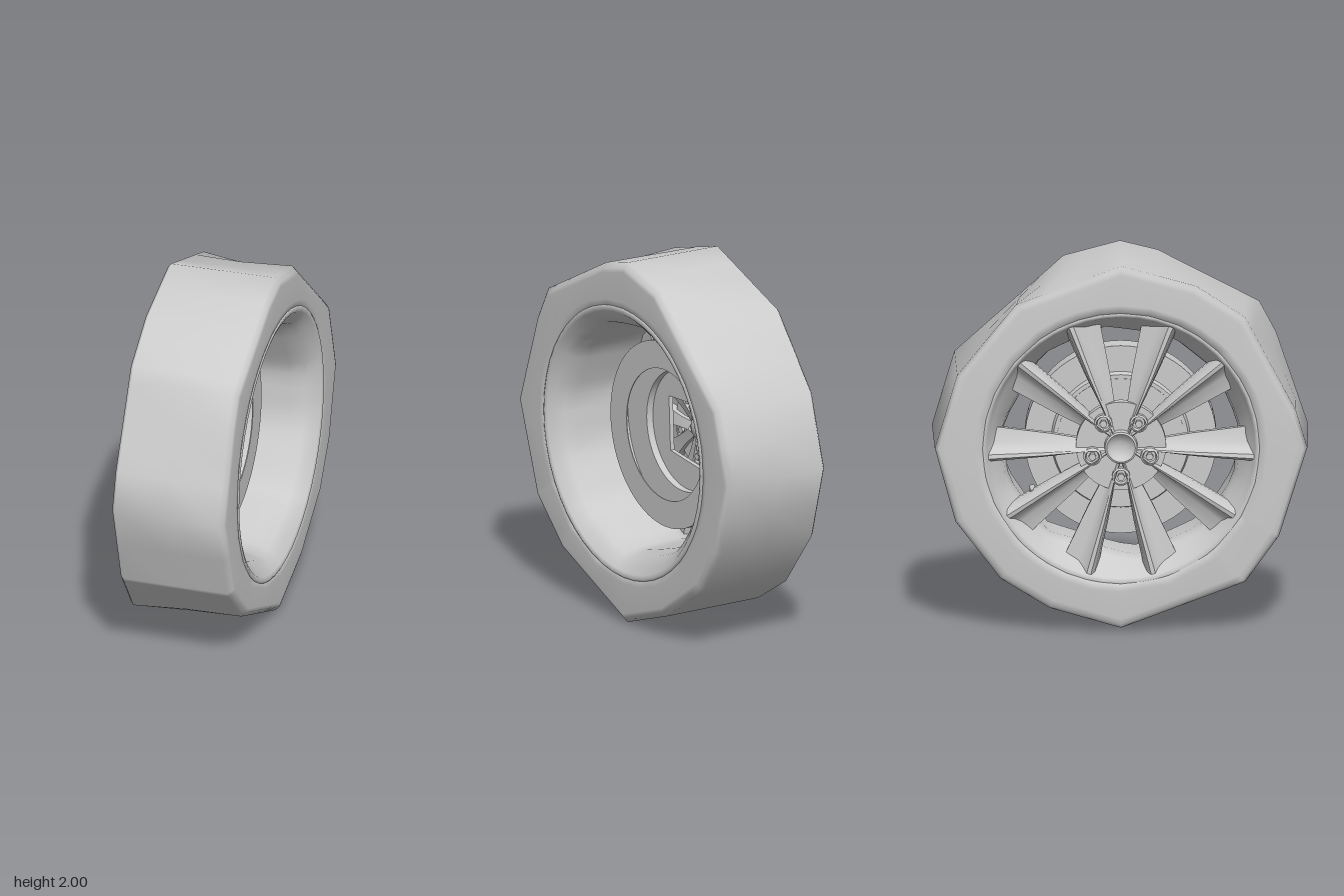
import * as THREE from 'three';
import { toCreasedNormals } from 'three/addons/utils/BufferGeometryUtils.js';

const TAU = Math.PI * 2;
const grey = new THREE.MeshStandardMaterial({ color: 0xcccccc });
const thin = new THREE.MeshStandardMaterial({ color: 0xcccccc, side: THREE.DoubleSide });

// Skins a row of closed rings of [x, y, z] points.
function loft(rings) {
  const n = rings[0].length, index = [];
  for (let i = 0; i < rings.length - 1; i++) {
    for (let j = 0; j < n; j++) {
      const k = (j + 1) % n, a = i * n + j, b = i * n + k, c = a + n, d = b + n;
      index.push(a, c, b, b, c, d);
    }
  }
  const g = new THREE.BufferGeometry();
  g.setAttribute('position', new THREE.Float32BufferAttribute(rings.flat(2), 3));
  g.setIndex(index);
  g.computeVertexNormals();
  return g;
}

// Distance from the axle to a [z, y] polygon in direction t (0 is up, towards +z).
function polyRadius(pts, t) {
  const dz = Math.sin(t), dy = Math.cos(t);
  for (let i = 0; i < pts.length; i++) {
    const [az, ay] = pts[i], [bz, by] = pts[(i + 1) % pts.length];
    const ez = bz - az, ey = by - ay, den = dz * ey - dy * ez;
    if (Math.abs(den) < 1e-9) continue;
    const r = (az * ey - ay * ez) / den, s = (az * dy - ay * dz) / den;
    if (r > 0 && s >= -1e-6 && s <= 1 + 1e-6) return r;
  }
  return 1;
}

const ring = (x, angles, radius) => angles.map(t => {
  const r = radius(t);
  return [x, r * Math.cos(t), r * Math.sin(t)];
});

// Lathe around the axle from [radius, x] pairs.
function axleLathe(points, segments) {
  const g = new THREE.LatheGeometry(points.map(p => new THREE.Vector2(...p)), segments);
  g.rotateZ(-Math.PI / 2);
  return toCreasedNormals(g, 0.6);
}

// Plate across the axle, from x0 to x1.
function axlePlate(shape, x0, x1) {
  const g = new THREE.ExtrudeGeometry(shape, { depth: x1 - x0, bevelEnabled: false, curveSegments: 24 });
  g.rotateY(Math.PI / 2);
  g.translate(x0, 0, 0);
  return toCreasedNormals(g, 0.6);
}

export function createModel() {
  const model = new THREE.Group();
  model.name = 'wheel';
  const wheel = new THREE.Group();
  wheel.name = 'wheelParts';
  wheel.position.y = 1;
  model.add(wheel);
  const add = (name, geometry, material = grey) => {
    const m = new THREE.Mesh(geometry, material);
    m.name = name;
    wheel.add(m);
    return m;
  };

  // Tyre: uneven low-poly outlines, different on each side
  const inner = [[0, 1], [0.2, 0.95], [0.74, 0.67], [0.83, 0.5], [1, 0], [0.83, -0.5], [0.59, -0.74],
    [0, -1], [-0.38, -0.87], [-0.72, -0.64], [-0.88, -0.4], [-1, 0], [-0.88, 0.4], [-0.3, 0.92]];
  const outer = [[0, 0.99], [0.4, 0.88], [0.66, 0.71], [0.93, 0.2], [0.99, 0], [0.84, -0.48], [0.66, -0.73],
    [0, -0.98], [-0.38, -0.87], [-0.64, -0.71], [-0.88, -0.4], [-0.99, 0], [-0.87, 0.4], [-0.56, 0.78]];
  const key = [...new Set([...inner, ...outer].map(([z, y]) => +((Math.atan2(z, y) + TAU) % TAU).toFixed(3)))]
    .sort((a, b) => a - b).filter((t, i, l) => i === 0 || t - l[i - 1] > 0.02);
  const angles = key.flatMap((t, i) => {
    const next = i + 1 < key.length ? key[i + 1] : key[0] + TAU;
    return next - t > 0.3 ? [t, (t + next) / 2] : [t];
  });
  const rIn = k => t => k * polyRadius(inner, t);
  const rOut = k => t => k * polyRadius(outer, t);
  const flat = r => () => r;
  add('tyre', loft([
    ring(0.29, angles, flat(0.72)), ring(0.318, angles, flat(0.745)), ring(0.322, angles, flat(0.78)),
    ring(0.322, angles, rIn(0.95)), ring(0.315, angles, rIn(0.972)), ring(0.29, angles, rIn(1)),
    ring(0, angles, t => (rIn(1)(t) + rOut(1)(t)) / 2),
    ring(-0.29, angles, rOut(1)), ring(-0.308, angles, rOut(0.98)), ring(-0.312, angles, rOut(0.95)),
    ring(-0.32, angles, flat(0.78)), ring(-0.318, angles, flat(0.74)), ring(-0.28, angles, flat(0.72)),
  ]), thin);

  // Rim: rolled lips running into an uneven polygonal barrel
  const barrel = [-8, 25, 53, 81, 108, 137, 174, 219, 252, 279, 319]
    .map(d => [0.63 * Math.sin(d * TAU / 360), 0.63 * Math.cos(d * TAU / 360)]);
  const rimAngles = Array.from({ length: 48 }, (_, i) => i / 48 * TAU);
  const rb = k => t => polyRadius(barrel, t) * k + 0.72 * (1 - k);
  add('rim', loft([
    ring(0.27, rimAngles, flat(0.75)), ring(0.318, rimAngles, flat(0.748)), ring(0.325, rimAngles, flat(0.735)),
    ring(0.318, rimAngles, flat(0.715)), ring(0.285, rimAngles, rb(0.35)), ring(0.25, rimAngles, rb(0.7)),
    ring(0.17, rimAngles, rb(0.9)), ring(-0.1, rimAngles, rb(1)), ring(-0.18, rimAngles, rb(0.85)),
    ring(-0.25, rimAngles, flat(0.69)), ring(-0.3, rimAngles, flat(0.712)), ring(-0.32, rimAngles, flat(0.73)),
    ring(-0.3, rimAngles, flat(0.745)),
  ]), thin);

  // Ten spokes in five mirrored V pairs, each with a rounded ridge and a lower blade, ending on the rim
  const stations = [[0.06, 0.05, 0.01], [0.16, 0.06, 0.005], [0.26, 0.095, 0], [0.38, 0.135, 0], [0.52, 0.17, 0],
    [0.64, 0.2, 0], [0.74, 0.24, 0]];
  const section = [[0.5, -0.2], [0.42, -0.265], [0.32, -0.295], [0.2, -0.29], [0.08, -0.25], [-0.1, -0.23],
    [-0.5, -0.215], [-0.48, -0.165], [0.48, -0.15]];
  for (let p = 0; p < 5; p++) {
    const a = p / 5 * TAU;
    for (const side of [1, -1]) {
      const rings = stations.map(([s, w, drop]) => {
        const mid = 0.035 + (s - 0.1) * 0.317;
        const pts = section.map(([u, x]) => {
          const l = side * (mid + u * w);
          const k = Math.min(1, 0.715 / Math.hypot(s, l));
          return [x < -0.24 ? x + drop : x, k * (s * Math.cos(a) - l * Math.sin(a)),
            k * (s * Math.sin(a) + l * Math.cos(a))];
        });
        return side > 0 ? pts : pts.reverse();
      });
      add('spoke', toCreasedNormals(loft(rings), 0.7));
    }
  }

  // Hub plate with five bolt pockets
  const bolts = Array.from({ length: 5 }, (_, i) => {
    const t = (i + 0.5) / 5 * TAU;
    return [0.16 * Math.sin(t), 0.16 * Math.cos(t)];
  });
  const hub = new THREE.Shape().absarc(0, 0, 0.24, 0, TAU, false);
  for (const [z, y] of bolts) hub.holes.push(new THREE.Path().absarc(-z, y, 0.045, 0, TAU, true));
  add('hub', axlePlate(hub, -0.25, -0.19));

  // Wheel bolts: collar and hexagonal head
  for (const [z, y] of bolts) {
    const collar = add('boltCollar', axleLathe([[0, -0.175], [0.03, -0.175], [0.034, -0.16], [0.048, -0.16],
      [0.048, -0.285], [0.038, -0.292], [0.032, -0.265], [0, -0.265]], 20), thin);
    collar.position.set(0, y, z);
    const head = new THREE.CylinderGeometry(0.02, 0.02, 0.14, 6);
    head.rotateZ(Math.PI / 2);
    add('bolt', toCreasedNormals(head, 0.5)).position.set(-0.225, y, z);
  }

  // Centre cap, dished in front and domed behind
  add('centreCap', axleLathe([[0, -0.265], [0.03, -0.268], [0.055, -0.278], [0.076, -0.3], [0.086, -0.295],
    [0.09, -0.23]], 28), thin);
  const dome = new THREE.SphereGeometry(0.07, 24, 12);
  dome.scale(0.6, 1, 1);
  add('hubDome', dome).position.x = -0.18;

  // Vented brake disc: a thin inner face plate, an open slot and a rear plate with the hat
  add('brakeDisc', axleLathe([[0.36, 0.045], [0.36, 0.05], [0.51, 0.05], [0.51, -0.085], [0.37, -0.085],
    [0.36, -0.12], [0.33, -0.12], [0.33, -0.06], [0.505, -0.06], [0.505, 0.045], [0.36, 0.045]], 64), thin);
  const floor = new THREE.Shape().absarc(0, 0, 0.34, 0, TAU, false);
  const hole = [[0.18, 0.145], [-0.17, 0.16], [-0.23, 0.02], [-0.125, -0.19], [0.165, -0.155]];
  floor.holes.push(new THREE.Path(hole.map(([z, y]) => new THREE.Vector2(-z, y))));
  add('brakeHat', axlePlate(floor, -0.125, -0.1));

  // Valve stem
  const valve = new THREE.CylinderGeometry(0.014, 0.018, 0.12, 10);
  valve.rotateZ(Math.PI / 2);
  add('valve', valve).position.set(-0.15, -0.26, -0.47);

  return model;
}
